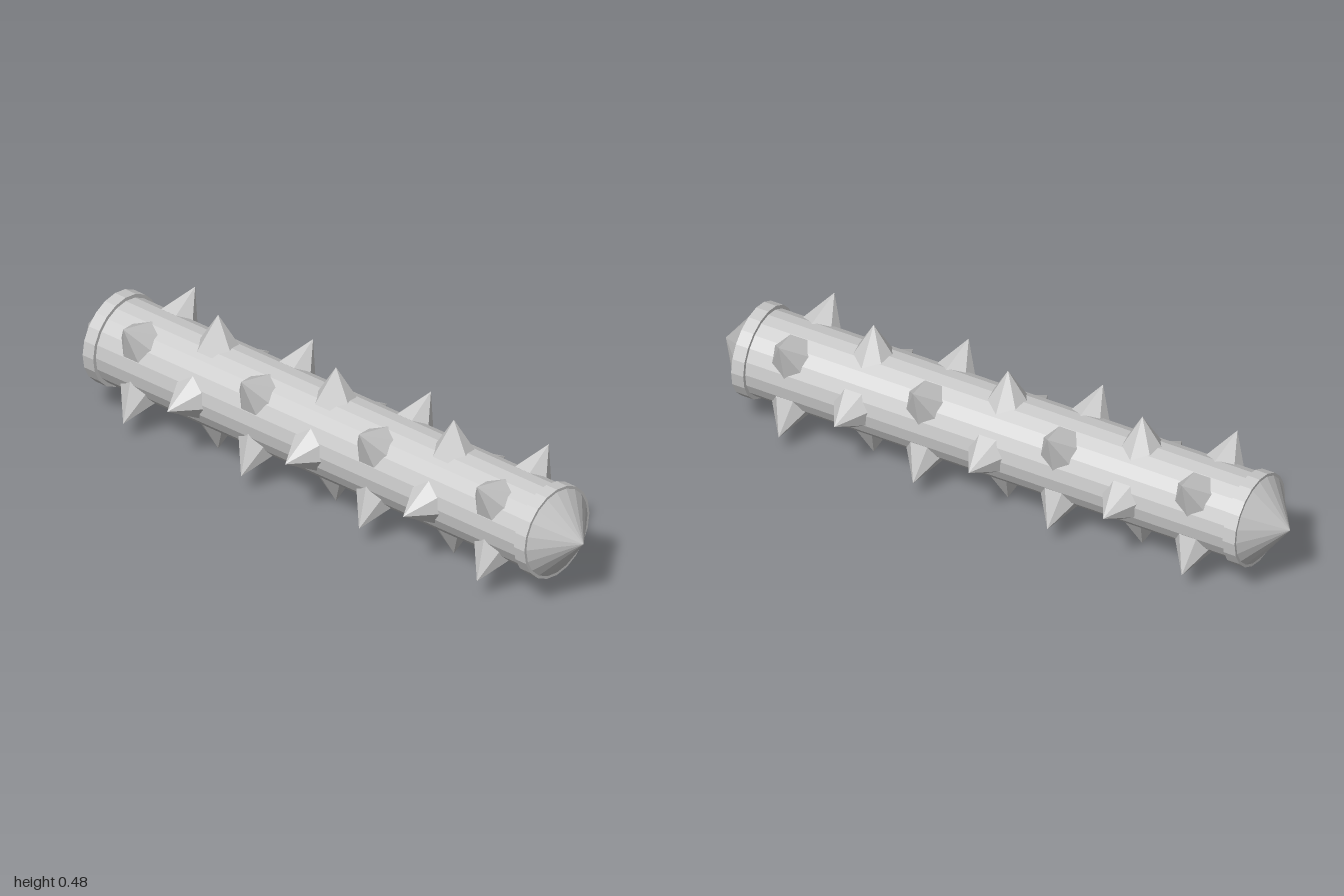
import * as THREE from 'three';

const AXIS_Y = 0.238; // height of the club's long axis
const SIDES = 20;

export function createModel() {
  const model = new THREE.Group();
  model.name = 'spikedClub';
  const material = new THREE.MeshStandardMaterial({ color: 0xcccccc, flatShading: true });

  const add = (name, geometry, parent) => {
    const mesh = new THREE.Mesh(geometry, material);
    mesh.name = name;
    parent.add(mesh);
    return mesh;
  };

  const club = new THREE.Group();
  club.name = 'club';
  club.position.y = AXIS_Y;
  model.add(club);

  // Long faceted shaft along x
  add('shaft', new THREE.CylinderGeometry(0.14, 0.14, 1.72, SIDES).rotateZ(-Math.PI / 2), club);

  // Collar and pointed cap at each end
  for (const side of [1, -1]) {
    const turn = -side * Math.PI / 2;
    const label = side > 0 ? 'left' : 'right';
    add(label + 'Collar', new THREE.CylinderGeometry(0.152, 0.152, 0.043, SIDES).rotateZ(turn), club)
      .position.x = side * 0.8705;
    add(label + 'Cap', new THREE.ConeGeometry(0.143, 0.108, SIDES).rotateZ(turn), club)
      .position.x = side * 0.946;
  }

  // Seven-sided spikes: one ridge faces -z before being turned about the shaft
  const spike = new THREE.ConeGeometry(0.078, 0.128, 7)
    .rotateY(Math.PI)
    .translate(0, 0.174, 0);

  // Rings of four spikes, every other ring turned by an eighth
  for (let ring = -3; ring <= 3; ring++) {
    const offset = ring % 2 ? Math.PI / 4 : 0;
    for (let i = 0; i < 4; i++) {
      const mesh = add('spike', spike, club);
      mesh.position.x = ring * 0.238;
      mesh.rotation.x = offset + i * Math.PI / 2;
    }
  }

  return model;
}
